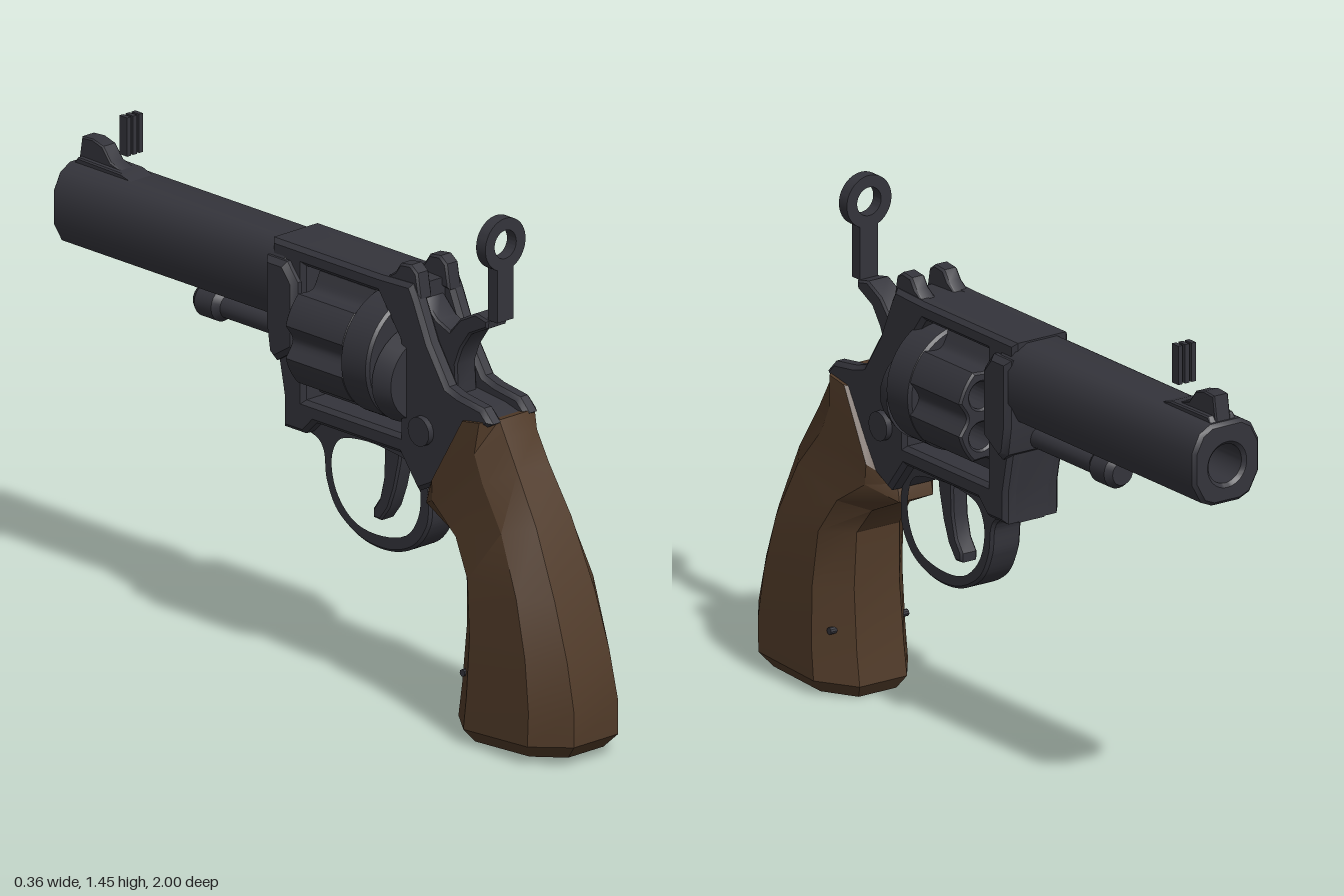
import * as THREE from 'three';
import { toCreasedNormals } from 'three/addons/utils/BufferGeometryUtils.js';

const steel = new THREE.MeshStandardMaterial({ color: 0x34343b });
steel.name = 'dark steel';
const wood = new THREE.MeshStandardMaterial({ color: 0x503a28 });
wood.name = 'brown wood';

export function createModel() {
  const group = new THREE.Group();

  const add = (name, geo, mat = steel, crease = 0.6) => {
    const mesh = new THREE.Mesh(toCreasedNormals(geo, crease), mat);
    mesh.name = name;
    group.add(mesh);
    return mesh;
  };
  const vec = (pts) => pts.map(([a, b]) => new THREE.Vector2(a, b));
  const poly = (pts) => new THREE.Shape(vec(pts));
  const smooth = (pts) => new THREE.Path().setFromPoints(
    new THREE.CatmullRomCurve3(pts.map(([a, b]) => new THREE.Vector3(a, b, 0)), true)
      .getPoints(48).slice(0, 48).map((p) => new THREE.Vector2(p.x, p.y)));
  const circle = (x, y, r) => new THREE.Path().absarc(x, y, r, 0, Math.PI * 2, true);

  // Profile in (z, y), extruded sideways between x0 and x1
  const side = (shape, x0, x1, bevel = 0.01) => {
    const geo = new THREE.ExtrudeGeometry(shape, {
      depth: x1 - x0 - 2 * bevel, bevelEnabled: bevel > 0, bevelThickness: bevel,
      bevelSize: bevel, bevelOffset: -bevel, bevelSegments: 1, curveSegments: 16,
    });
    geo.rotateY(-Math.PI / 2);
    return geo.translate(x1 - bevel, 0, 0);
  };
  // Profile in (x, y), extruded from z0 to z1
  const along = (shape, z0, z1, bevel = 0) => {
    const geo = new THREE.ExtrudeGeometry(shape, {
      depth: z1 - z0 - 2 * bevel, bevelEnabled: bevel > 0, bevelThickness: bevel,
      bevelSize: bevel, bevelOffset: -bevel, bevelSegments: 1, curveSegments: 24,
    });
    return geo.translate(0, 0, z0 + bevel);
  };

  // Barrel: faceted tube with open bore
  const half = [[0.05, 1.21], [0.085, 1.19], [0.11, 1.14], [0.11, 1.05], [0.08, 0.995], [0.045, 0.98]];
  const barrel = poly([...half, ...half.map(([x, y]) => [-x, y]).reverse()].reverse());
  barrel.holes.push(circle(0, 1.09, 0.055));
  add('barrel', along(barrel, -1, -0.1, 0.01));

  // Frame: central core with hammer slot, plus two full cheeks
  const cylinderWindow = [[-0.04, 0.785], [0.33, 0.785], [0.33, 1.05], [0.245, 1.165], [-0.04, 1.165]];
  const belly = [[-0.166, 1.215], [-0.166, 0.99], [-0.123, 0.78], [-0.123, 0.69], [-0.04, 0.69],
    [0, 0.73], [0.33, 0.73], [0.4, 0.64], [0.52, 0.7]];
  const cheek = poly([...belly, [0.62, 0.86], [0.686, 0.9], [0.65, 0.937], [0.56, 0.95],
    [0.515, 0.964], [0.445, 1.07], [0.397, 1.18], [0.375, 1.22], [0.25, 1.215]]);
  const core = poly([...belly, [0.62, 0.86], [0.66, 0.9], [0.6, 0.915], [0.37, 0.94], [0.37, 1.21], [0.25, 1.215]]);
  for (const s of [cheek, core]) s.holes.push(new THREE.Path(vec(cylinderWindow)));
  add('frameCore', side(core, -0.06, 0.06, 0));
  add('frameCheekLeft', side(cheek, 0.042, 0.092, 0.012));
  add('frameCheekRight', side(cheek, -0.092, -0.042, 0.012));

  // Crane block ahead of the cylinder
  add('crane', side(poly([[-0.05, 1.12], [-0.05, 0.93], [-0.13, 0.88], [-0.155, 0.9],
    [-0.168, 0.98], [-0.168, 1.17], [-0.09, 1.17]]), -0.118, 0.118, 0.015));

  // Cylinder: fluted front with six chambers, plain rear
  const cy = 0.975, R = 0.178;
  const fluted = [], round = [];
  for (let i = 0; i < 96; i++) {
    const a = (i / 96) * Math.PI * 2;
    const step = Math.PI / 3;
    const d = Math.abs(a - Math.round(a / step) * step) / (Math.PI / 12);
    const r = d < 1 ? R - 0.032 * Math.cos(d * Math.PI / 2) : R;
    fluted.push([r * Math.cos(a), cy + r * Math.sin(a)]);
    round.push([R * Math.cos(a), cy + R * Math.sin(a)]);
  }
  const front = poly(fluted);
  for (let k = 0; k < 6; k++) {
    const a = Math.PI / 6 + (k * Math.PI) / 3;
    front.holes.push(circle(0.115 * Math.cos(a), cy + 0.115 * Math.sin(a), 0.038));
  }
  add('cylinderFront', along(front, -0.03, 0.2, 0.006));
  add('cylinderRear', along(poly(round), 0.19, 0.3, 0.008));

  // Recoil shield behind the cylinder
  const shield = new THREE.CylinderGeometry(0.15, 0.168, 0.055, 32);
  shield.rotateX(Math.PI / 2).scale(1, 0.84, 1).translate(0, 0.938, 0.333);
  add('recoilShield', shield);

  // Ejector rod with rounded knob
  const rod = new THREE.LatheGeometry(vec([[0, -0.53], [0.034, -0.53], [0.048, -0.51], [0.048, -0.445],
    [0.034, -0.425], [0.034, -0.14], [0, -0.14]]), 20);
  rod.rotateX(Math.PI / 2).translate(0, 0.933, 0);
  add('ejectorRod', rod);

  // Trigger guard and trigger
  const guard = new THREE.Shape();
  guard.moveTo(0.4, 0.75);
  guard.lineTo(0.4, 0.66);
  guard.splineThru(vec([[0.41, 0.6], [0.4, 0.525], [0.345, 0.455], [0.25, 0.42], [0.14, 0.427],
    [0.045, 0.48], [0, 0.56], [-0.012, 0.64], [-0.045, 0.672], [-0.12, 0.686]]));
  guard.lineTo(-0.12, 0.75);
  guard.holes.push(smooth([[0.378, 0.62], [0.37, 0.545], [0.325, 0.48], [0.22, 0.45], [0.11, 0.465],
    [0.038, 0.535], [0.018, 0.63], [0.05, 0.695], [0.14, 0.718], [0.25, 0.715], [0.35, 0.69]]));
  add('triggerGuard', side(guard, -0.05, 0.05, 0.008));
  add('trigger', side(poly([[0.2, 0.75], [0.203, 0.68], [0.2, 0.61], [0.185, 0.55], [0.16, 0.515],
    [0.16, 0.49], [0.19, 0.488], [0.222, 0.53], [0.245, 0.59], [0.265, 0.67], [0.275, 0.75]]), -0.027, 0.027, 0.006));

  // Hammer with curved spur
  add('hammer', side(poly([[0.365, 1.17], [0.365, 0.92], [0.5, 0.92], [0.495, 1.01], [0.515, 1.06],
    [0.55, 1.11], [0.615, 1.142], [0.618, 1.165], [0.57, 1.175], [0.51, 1.145], [0.47, 1.1], [0.42, 1.12]]),
    -0.038, 0.038, 0.006));

  // Rear sight: two humps with a notch between
  const hump = [[0.25, 1.2], [0.3, 1.235], [0.32, 1.263], [0.36, 1.268], [0.385, 1.25], [0.397, 1.18]];
  for (const [name, x] of [['rearSightLeft', 0.03], ['rearSightRight', -0.078]]) {
    add(name, side(poly(hump), x, x + 0.048, 0.006));
  }

  // Front sight: low ramp and blade
  add('frontSightBase', side(poly([[-0.73, 1.2], [-0.8, 1.222], [-0.97, 1.225], [-0.99, 1.2]]), -0.042, 0.042, 0.004));
  add('frontSightBlade', side(poly([[-0.75, 1.2], [-0.86, 1.235], [-0.89, 1.272], [-0.93, 1.283],
    [-0.972, 1.28], [-0.985, 1.2]]), -0.025, 0.025, 0.004));

  // Floating ring sight on a stem
  const ring = new THREE.Shape().absarc(0, 1.382, 0.074, 0, Math.PI * 2, false);
  ring.holes.push(circle(0, 1.382, 0.04));
  add('ringSight', along(ring, 0.612, 0.648));
  add('ringSightStem', new THREE.BoxGeometry(0.06, 0.15, 0.036).translate(0, 1.24, 0.63));

  // Floating triple post sight
  for (const i of [-1, 0, 1]) {
    add('postSight', new THREE.BoxGeometry(0.014, 0.11, 0.03).translate(i * 0.022, 1.325, -0.805));
  }

  // Release buttons on both sides
  add('releaseButton', new THREE.CylinderGeometry(0.041, 0.041, 0.22, 20).rotateZ(Math.PI / 2).translate(0, 0.82, 0.425));

  // Grip: octagonal sections [back z, back y, front z, front y, half width]
  const sections = [
    [0.96, 0.022, 0.575, 0.002, 0.125], [1, 0.064, 0.548, 0.04, 0.157], [1, 0.16, 0.562, 0.134, 0.156],
    [0.97, 0.295, 0.578, 0.31, 0.15], [0.917, 0.455, 0.572, 0.47, 0.142], [0.836, 0.643, 0.515, 0.546, 0.126],
    [0.756, 0.777, 0.4, 0.6, 0.112], [0.71, 0.86, 0.41, 0.65, 0.11], [0.68, 0.905, 0.56, 0.885, 0.102],
  ];
  const octagon = [[1, 0.52], [0.55, 1], [-0.55, 1], [-1, 0.5], [-1, -0.5], [-0.55, -1], [0.55, -1], [1, -0.52]];
  const pos = [], idx = [];
  sections.forEach(([bz, by, fz, fy, w], i) => {
    octagon.forEach(([t, x], j) => {
      const k = (t + 1) / 2;
      pos.push(x * w, fy + (by - fy) * k, fz + (bz - fz) * k);
      const a = i * 8 + j, b = i * 8 + ((j + 1) % 8);
      if (i < sections.length - 1) idx.push(a, b, b + 8, a, b + 8, a + 8);
    });
  });
  const top = (sections.length - 1) * 8;
  for (let j = 1; j < 7; j++) idx.push(0, j + 1, j, top, top + j, top + j + 1);
  const grip = new THREE.BufferGeometry();
  grip.setAttribute('position', new THREE.Float32BufferAttribute(pos, 3));
  grip.setIndex(idx);
  add('grip', grip, wood, 0.5);

  // Grip pin
  add('gripPin', new THREE.CylinderGeometry(0.01, 0.01, 0.26, 10).rotateZ(Math.PI / 2).translate(0, 0.19, 0.617));

  return group;
}
